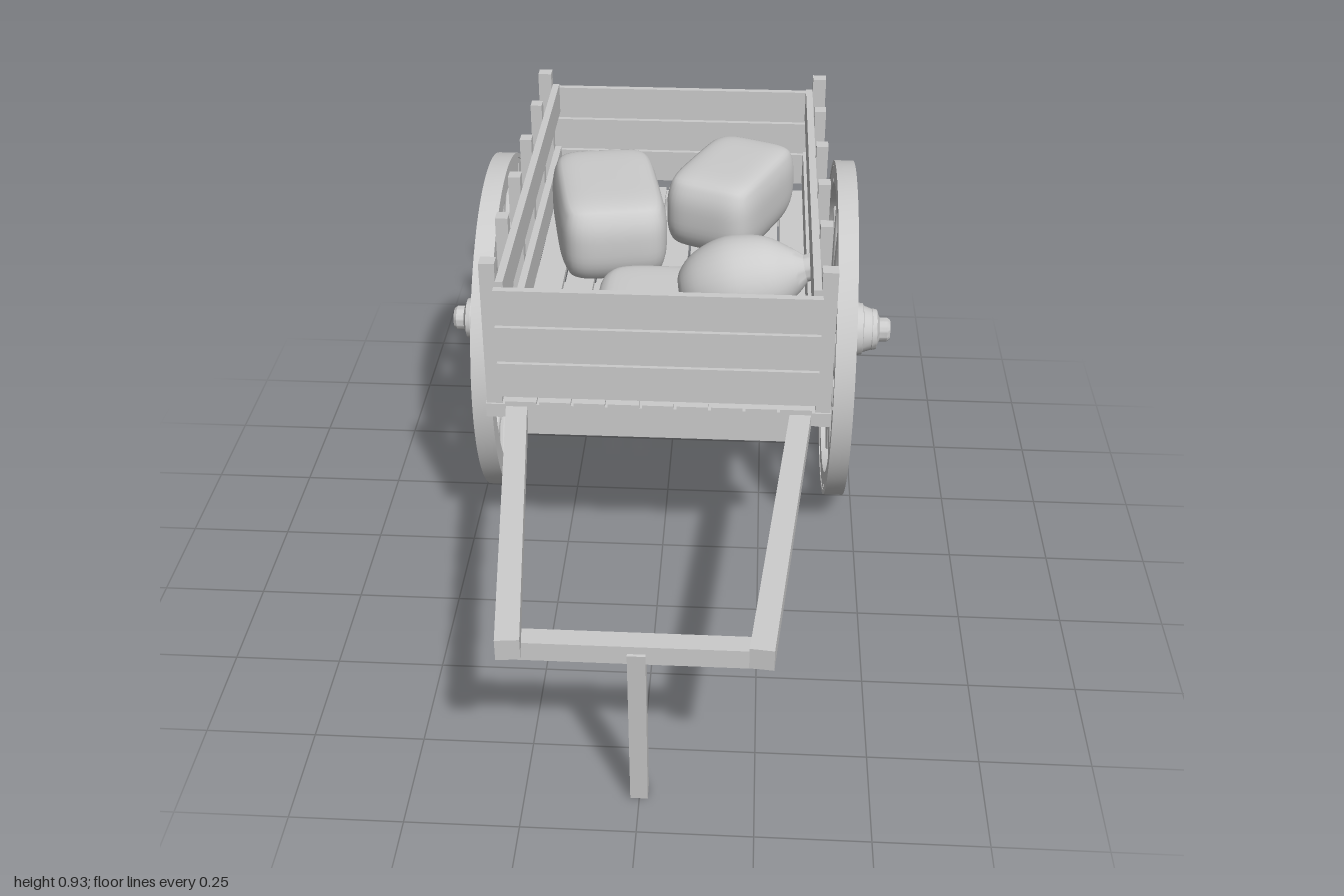
import * as THREE from 'three';
import { mergeVertices, toCreasedNormals } from 'three/addons/utils/BufferGeometryUtils.js';

const material = new THREE.MeshStandardMaterial({ color: 0xcccccc, side: THREE.DoubleSide });

function add(parent, name, geometry, x = 0, y = 0, z = 0) {
  const mesh = new THREE.Mesh(geometry, material);
  mesh.name = name;
  mesh.position.set(x, y, z);
  parent.add(mesh);
  return mesh;
}

// Box given by its centre and size
const box = (parent, name, x, y, z, w, h, d) =>
  add(parent, name, new THREE.BoxGeometry(w, h, d), x, y, z);

// Square timber running between two points
function beam(parent, name, a, b, w, h) {
  const from = new THREE.Vector3(...a), to = new THREE.Vector3(...b);
  const mesh = box(parent, name, 0, 0, 0, w, h, from.distanceTo(to));
  mesh.position.copy(from).lerp(to, 0.5);
  mesh.lookAt(to);
  return mesh;
}

// Smooth turned form around y; points are [radius, height]
function turned(points, segments = 32) {
  const profile = points.map(([r, h]) => new THREE.Vector2(r, h));
  return toCreasedNormals(new THREE.LatheGeometry(profile, segments), 0.6);
}

// Stuffed sack: a cube pushed onto a rounded super-ellipsoid
function sackGeometry(w, h, d) {
  const g = new THREE.BoxGeometry(2, 2, 2, 16, 12, 16);
  g.deleteAttribute('normal');
  g.deleteAttribute('uv');
  const sack = mergeVertices(g);
  const p = sack.attributes.position;
  const v = new THREE.Vector3();
  for (let i = 0; i < p.count; i++) {
    v.fromBufferAttribute(p, i);
    const n = 5;
    const k = (Math.abs(v.x) ** n + Math.abs(v.y) ** (n - 2) + Math.abs(v.z) ** n) ** (-1 / n);
    v.multiplyScalar(k);
    p.setXYZ(i, v.x * w / 2, v.y * h / 2, v.z * d / 2);
  }
  sack.computeVertexNormals();
  return sack;
}

// Wheel built around its own x axle, outer side towards +x
function createWheel() {
  const wheel = new THREE.Group();
  const width = 0.05, felloes = 6, gap = 0.006;

  // Wooden rim sections with fine joints
  for (let i = 0; i < felloes; i++) {
    const a = (i / felloes) * Math.PI * 2 + gap;
    const b = ((i + 1) / felloes) * Math.PI * 2 - gap;
    const arc = new THREE.Shape();
    arc.absarc(0, 0, 0.436, a, b, false);
    arc.absarc(0, 0, 0.386, b, a, true);
    const g = new THREE.ExtrudeGeometry(arc, { depth: width - 0.004, bevelEnabled: false, curveSegments: 12 });
    g.translate(0, 0, -(width - 0.004) / 2);
    g.rotateY(Math.PI / 2);
    add(wheel, 'rimSection', toCreasedNormals(g, 0.5));
  }

  // Iron tyre
  const h = width / 2;
  const tyre = turned([[0.434, -h], [0.445, -h], [0.445, h], [0.434, h], [0.434, -h]], 72);
  add(wheel, 'tyre', tyre.rotateZ(-Math.PI / 2));

  // Turned spokes, swollen in the middle
  const spoke = turned([[0.015, 0.05], [0.017, 0.12], [0.02, 0.17], [0.017, 0.25], [0.012, 0.35], [0.011, 0.395]], 12);
  for (let i = 0; i < 12; i++) {
    add(wheel, 'spoke', spoke).rotation.x = (i / 12) * Math.PI * 2;
  }

  // Stepped hub
  const hub = turned([
    [0, -0.12], [0.052, -0.12], [0.058, -0.113], [0.062, -0.085], [0.068, -0.083], [0.068, -0.06],
    [0.064, -0.058], [0.074, -0.03], [0.076, 0], [0.074, 0.03], [0.067, 0.044], [0.071, 0.046],
    [0.069, 0.066], [0.063, 0.068], [0.055, 0.09], [0.056, 0.092], [0.053, 0.104], [0.04, 0.108],
    [0.032, 0.112], [0.032, 0.132], [0.026, 0.14], [0, 0.141],
  ]);
  add(wheel, 'hub', hub.rotateZ(-Math.PI / 2));
  return wheel;
}

export function createModel() {
  const cart = new THREE.Group();
  cart.name = 'handcart';
  const axleY = 0.447, axleZ = -0.395, bedZ = -0.39;

  // Floor planks
  for (let i = 0; i < 9; i++) box(cart, 'floorPlank', (i - 4) * 0.081, 0.56, bedZ, 0.074, 0.018, 1.19);

  // End boards
  for (const z of [0.213, -0.99]) {
    for (let i = 0; i < 3; i++) box(cart, 'endBoard', 0, 0.638 + i * 0.096, z, 0.745, 0.09, 0.018);
  }

  // Cross timbers under each end of the bed
  for (const z of [0.175, -0.957]) {
    box(cart, 'crossTimber', 0, 0.542, z, 0.815, 0.035, 0.055);
    box(cart, 'lowerCrossTimber', 0, 0.5, z, 0.66, 0.05, 0.045);
  }

  for (const side of [1, -1]) {
    // Side posts, the corner ones longer
    for (let i = 0; i < 6; i++) {
      const corner = i === 0 || i === 5;
      const bottom = corner ? 0.52 : 0.53, size = corner ? 0.036 : 0.03;
      box(cart, 'sidePost', side * (0.369 + size / 2), (0.93 + bottom) / 2, 0.18 - i * 0.228, size, 0.93 - bottom, 0.035);
    }
    // Side rails
    for (const y of [0.652, 0.844]) box(cart, 'sideRail', side * 0.36, y, bedZ, 0.018, 0.085, 1.18);

    // Bed beam and pulling shaft
    box(cart, 'bedBeam', side * 0.33, 0.521, bedZ, 0.05, 0.06, 1.17);
    beam(cart, 'shaft', [side * 0.337, 0.531, 0.18], [side * 0.252, 0.495, 0.997], 0.05, 0.052);

    // Wheel
    const wheel = createWheel();
    wheel.name = side > 0 ? 'leftWheel' : 'rightWheel';
    wheel.position.set(side * 0.445, axleY, axleZ);
    if (side < 0) wheel.rotation.y = Math.PI;
    cart.add(wheel);
  }

  // Axle with bolster
  box(cart, 'axle', 0, 0.443, axleZ, 0.72, 0.036, 0.05);
  box(cart, 'bolster', 0, 0.506, axleZ, 0.6, 0.09, 0.05);

  // Handle bar and prop leg
  box(cart, 'handleBar', 0, 0.445, 0.92, 0.52, 0.045, 0.045);
  beam(cart, 'propLeg', [0, 0.45, 0.93], [0, 0.01, 0.89], 0.038, 0.038);

  // Sacks
  const sacks = [
    [-0.18, 0.68, -0.585, 0.29, 0.22, 0.45, 0.18],
    [0.15, 0.675, -0.73, 0.26, 0.21, 0.4, -0.4],
    [0.035, 0.607, -0.215, 0.43, 0.08, 0.32, -0.02],
  ];
  for (const [x, y, z, w, h, d, turn] of sacks) {
    add(cart, 'sack', sackGeometry(w, h, d), x, y, z).rotation.y = turn;
  }

  // Jar leaning on the flat sack
  const jarCurve = new THREE.SplineCurve([
    [0, -0.16], [0.05, -0.155], [0.095, -0.105], [0.118, -0.02], [0.1, 0.07], [0.06, 0.13], [0.034, 0.16],
  ].map(([r, h]) => new THREE.Vector2(r, h)));
  const jarProfile = jarCurve.getPoints(28).map((p) => [Math.max(p.x, 0), p.y]);
  const jar = turned([...jarProfile, [0.034, 0.18], [0.048, 0.183], [0.05, 0.2], [0.038, 0.206], [0.028, 0.2], [0.028, 0.165]]);
  const jarMesh = add(cart, 'jar', jar, 0.19, 0.69, -0.2);
  jarMesh.rotation.z = -Math.PI / 2 + 0.25;

  // Coiled hoops on the floor
  for (let i = 0; i < 2; i++) {
    const hoop = new THREE.TorusGeometry(0.092 - i * 0.006, 0.009, 10, 40).rotateX(Math.PI / 2);
    add(cart, 'hoop', hoop, -0.205, 0.579 + i * 0.016, -0.03);
  }
  return cart;
}
